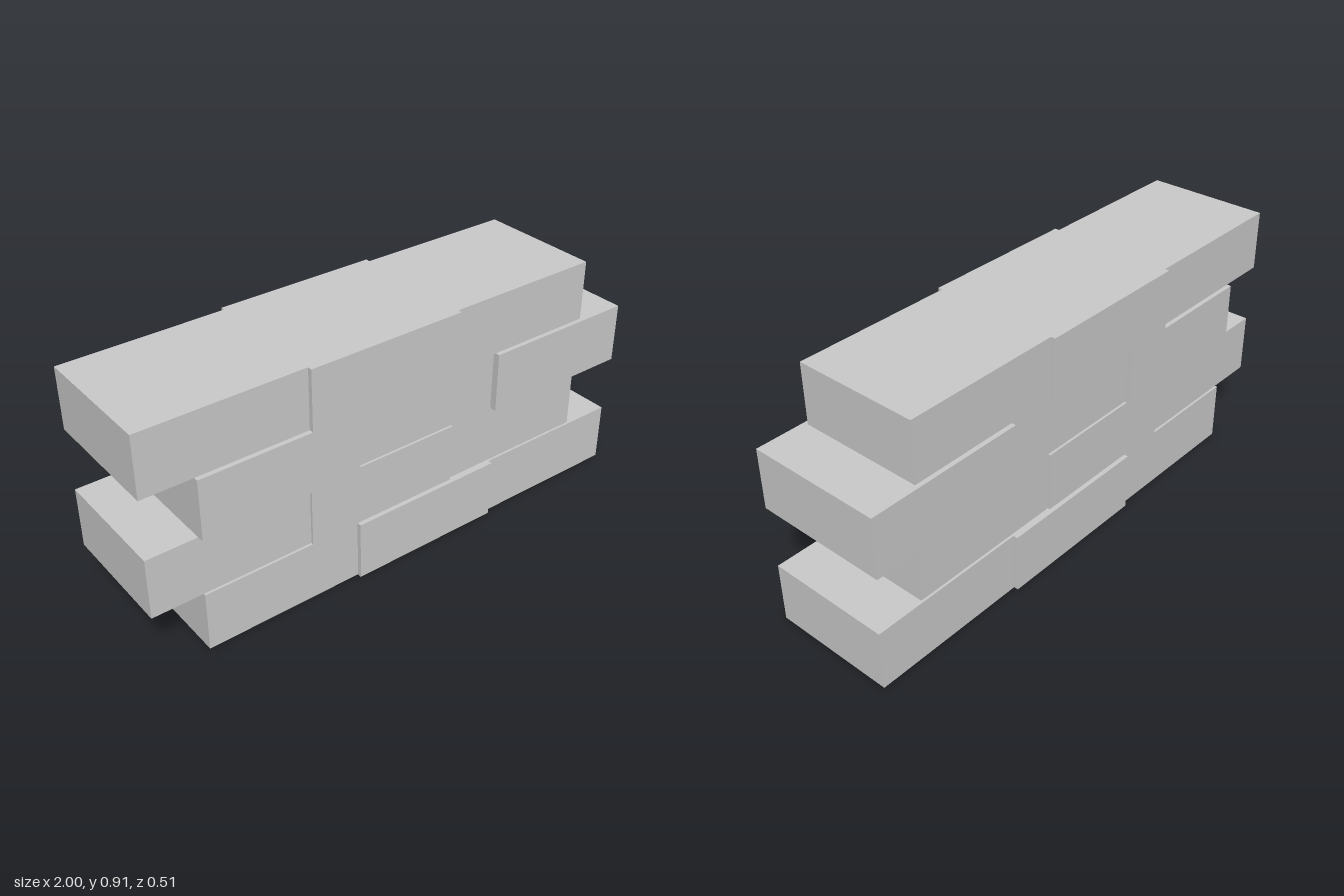
import * as THREE from 'three';

const LENGTH = 0.6045;
const HEIGHT = 0.2272;
const WIDE = 0.508, MEDIUM = 0.474, NARROW = 0.456;

// Courses from the bottom up: brick depths from -x to +x
const COURSES = [
  [MEDIUM, WIDE, MEDIUM],
  [NARROW, MEDIUM, NARROW],
  [WIDE, NARROW, WIDE],
  [MEDIUM, WIDE, MEDIUM],
];

export function createModel() {
  const wall = new THREE.Group();
  wall.name = 'brickWall';
  const material = new THREE.MeshStandardMaterial({ color: 0xcccccc, flatShading: true });

  COURSES.forEach((depths, row) => {
    const course = new THREE.Group();
    course.name = `course${row + 1}`;
    // Alternate courses are pushed to opposite ends
    const start = row % 2 === 0 ? 1 - 3 * LENGTH : -1;
    depths.forEach((depth, i) => {
      const brick = new THREE.Mesh(new THREE.BoxGeometry(LENGTH, HEIGHT, depth), material);
      brick.name = `brick${i + 1}`;
      brick.position.x = start + (i + 0.5) * LENGTH;
      course.add(brick);
    });
    course.position.y = (row + 0.5) * HEIGHT;
    wall.add(course);
  });
  return wall;
}
